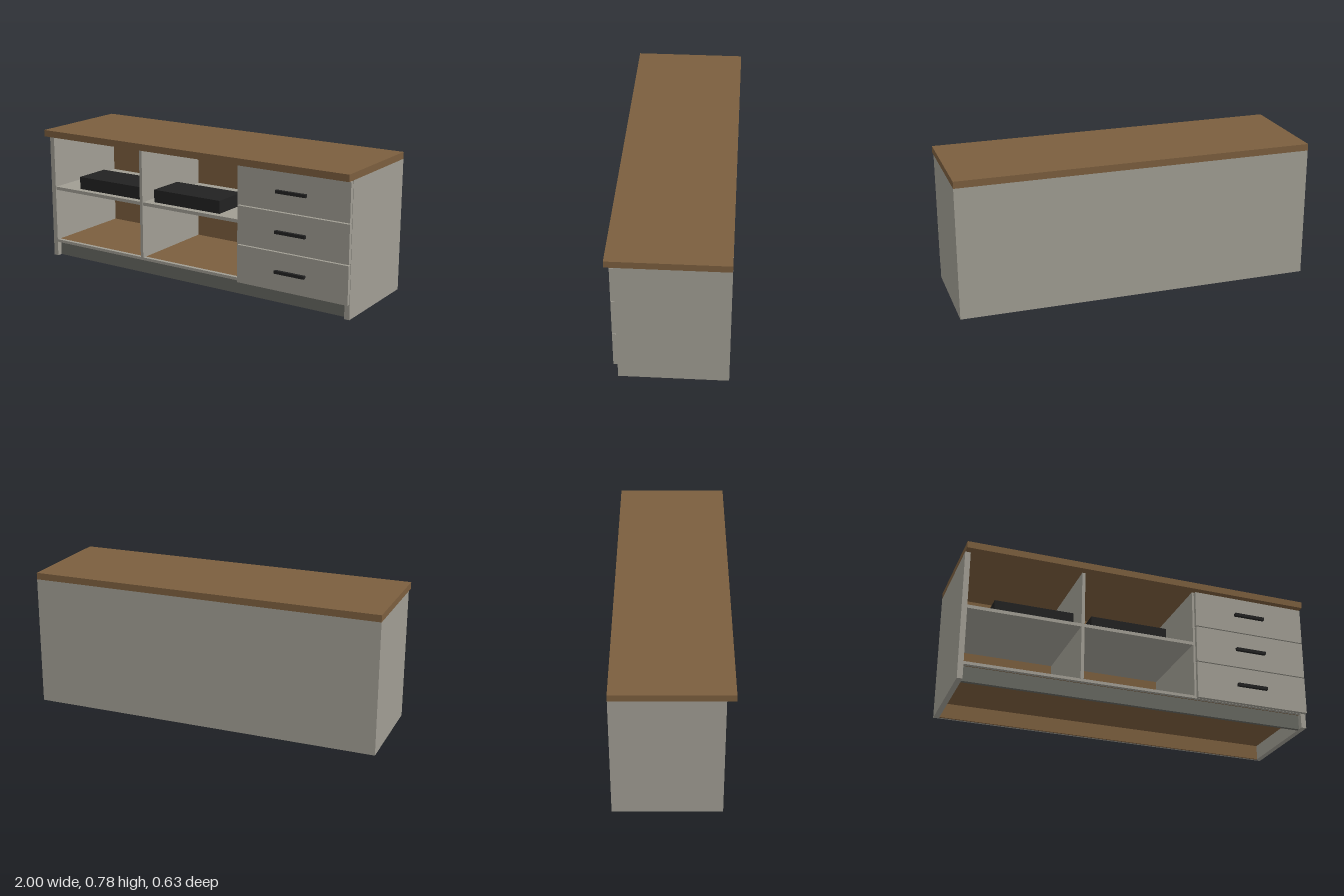
import * as THREE from 'three';

const paint = (name, color) => {
  const m = new THREE.MeshStandardMaterial({ color });
  m.name = name;
  return m;
};

export function createModel() {
  const group = new THREE.Group();
  group.name = 'sideboard';
  const wood = paint('brown wood', 0x7b5e3e);
  const grey = paint('warm grey', 0xa09d93);
  const dark = paint('plinth grey', 0x666760);
  const black = paint('black', 0x222222);

  // Box given by its limits on each axis
  const slab = (name, mat, [x0, x1], [y0, y1], [z0, z1]) => {
    const mesh = new THREE.Mesh(new THREE.BoxGeometry(x1 - x0, y1 - y0, z1 - z0), mat);
    mesh.position.set((x0 + x1) / 2, (y0 + y1) / 2, (z0 + z1) / 2);
    mesh.name = name;
    group.add(mesh);
  };

  const front = 0.265, back = -0.313, inner = -0.29, under = 0.738;

  // Carcass
  slab('worktop', wood, [-1, 1], [under, 0.776], [back, 0.313]);
  slab('rightSide', grey, [-1, -0.97], [0, under], [back, front]);
  slab('leftSide', grey, [0.97, 1], [0, under], [back, front]);
  slab('backPanel', grey, [-0.97, 0.97], [0, under], [back, -0.3]);
  slab('backLining', wood, [-0.97, 0.97], [0, under], [-0.3, inner]);
  slab('floor', wood, [-0.97, 0.97], [0.084, 0.1], [inner, 0.24]);
  slab('floorEdge', grey, [-0.97, 0.97], [0.084, 0.1], [0.24, 0.262]);
  slab('plinth', dark, [-0.97, 0.97], [0, 0.084], [0.215, 0.235]);

  // Dividers between the three bays
  slab('middleDivider', grey, [-0.34, -0.322], [0.1, under], [inner, front]);
  slab('drawerDivider', grey, [0.318, 0.336], [0.1, under], [inner, front]);

  // Open bays: a shelf and a media box in each
  const bays = [[-0.97, -0.34, -0.815], [-0.322, 0.318, -0.27]];
  for (const [x0, x1, boxX] of bays) {
    slab('shelf', grey, [x0, x1], [0.408, 0.427], [inner, 0.26]);
    slab('mediaBox', black, [boxX, boxX + 0.443], [0.427, 0.5], [0, 0.222]);
  }

  // Drawer fronts with bar handles
  for (let i = 0; i < 3; i++) {
    const y = 0.084 + i * 0.218;
    slab('drawerFront', grey, [0.33, 0.998], [y, y + 0.212], [front, 0.287]);
    slab('drawerHandle', black, [0.57, 0.75], [y + 0.098, y + 0.115], [0.287, 0.305]);
  }
  return group;
}
